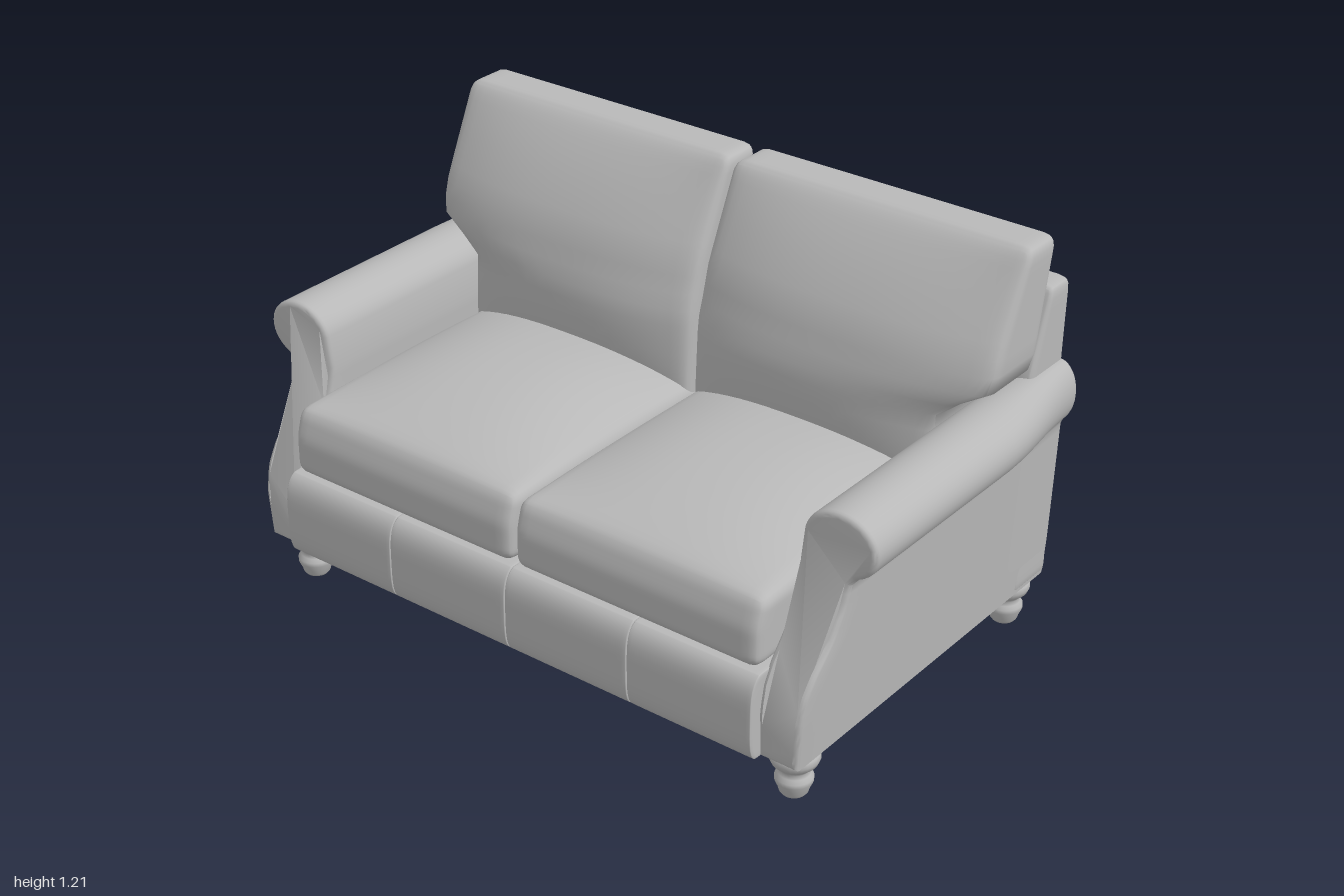
import * as THREE from 'three';
import { mergeVertices, toCreasedNormals } from 'three/addons/utils/BufferGeometryUtils.js';

const leather = new THREE.MeshStandardMaterial({ color: 0xb8b8b8 });
leather.name = 'grey upholstery';

const { lerp, smoothstep, clamp } = THREE.MathUtils;

// Piecewise-linear lookup through [input, output] pairs
function lookup(pairs, t) {
  if (t <= pairs[0][0]) return pairs[0][1];
  for (let i = 1; i < pairs.length; i++) {
    const [a, va] = pairs[i - 1], [b, vb] = pairs[i];
    if (t <= b) return lerp(va, vb, (t - a) / (b - a));
  }
  return pairs[pairs.length - 1][1];
}

// Rounded padded box between two corners; rule(p, n) bends each point,
// where n is its position in the box from -1 to 1
function softBox(min, max, r, rule, n = 24) {
  const lo = new THREE.Vector3(...min), hi = new THREE.Vector3(...max);
  const half = hi.clone().sub(lo).multiplyScalar(0.5);
  const centre = lo.clone().add(hi).multiplyScalar(0.5);
  const box = new THREE.BoxGeometry(2, 2, 2, n, n, n);
  const pos = box.attributes.position;
  const p = new THREE.Vector3(), inner = new THREE.Vector3(), unit = new THREE.Vector3();
  const core = half.clone().subScalar(r), coreMin = core.clone().negate();
  for (let i = 0; i < pos.count; i++) {
    p.fromBufferAttribute(pos, i);
    p.set(...p.toArray().map(c => Math.sin(c * Math.PI / 2))).multiply(half);
    inner.copy(p).clamp(coreMin, core);
    p.sub(inner).setLength(r).add(inner);
    unit.copy(p).divide(half);
    p.add(centre);
    if (rule) rule(p, unit);
    pos.setXYZ(i, p.x, p.y, p.z);
  }
  box.deleteAttribute('uv');
  box.deleteAttribute('normal');
  const geo = mergeVertices(box, 1e-5);
  geo.computeVertexNormals();
  return geo;
}

// Rolled arm: cross-section run front to back, its front end swept in side view
function armGeometry(side) {
  const pts = [];
  const line = (x0, y0, x1, y1, n) => {
    for (let i = 0; i < n; i++) pts.push([lerp(x0, x1, i / n), lerp(y0, y1, i / n)]);
  };
  line(0.78, 0.14, 0.776, 0.66, 20);
  for (let i = 0; i <= 24; i++) {
    const a = lerp(170, -62, i / 24) * Math.PI / 180;
    pts.push([0.892 + 0.106 * Math.cos(a), 0.71 + 0.09 * Math.sin(a)]);
  }
  line(0.925, 0.61, 0.918, 0.5, 5);
  line(0.918, 0.5, 0.895, 0.14, 15);
  pts.push([0.895, 0.14]);
  const shape = new THREE.Shape(pts.map(([x, y]) => new THREE.Vector2(x * side, y)));
  const bevel = 0.014;
  const geo = new THREE.ExtrudeGeometry(shape, {
    depth: 1, steps: 16, bevelSize: bevel, bevelThickness: bevel, bevelOffset: -bevel, bevelSegments: 3,
  });
  const sweep = [[0.14, 0.55], [0.28, 0.555], [0.35, 0.54], [0.4, 0.51], [0.47, 0.45],
    [0.55, 0.41], [0.62, 0.395], [0.8, 0.4]];
  const pos = geo.attributes.position;
  for (let i = 0; i < pos.count; i++) {
    let x = pos.getX(i) * side;
    const y = pos.getY(i), t = pos.getZ(i);
    const along = clamp(t, 0, 1);
    const z = lerp(-0.585, lookup(sweep, y), along) + (t - along);
    // the roll thins toward the back
    if (x > 0.9) x = 0.9 + (x - 0.9) * (1 - 0.5 * smoothstep(-z, 0.2, 0.62));
    pos.setXYZ(i, x * side, y, z);
  }
  geo.deleteAttribute('uv');
  return toCreasedNormals(geo, 0.7);
}

// Seat cushion with a crowned top
function seatGeometry(side) {
  const xs = [0.004 * side, 0.776 * side].sort((a, b) => a - b);
  return softBox([xs[0], 0.385, -0.42], [xs[1], 0.58, 0.572], 0.035, (p, n) => {
    const crown = (1 - Math.abs(n.x) ** 2.5) * (1 - n.z * n.z);
    if (n.y > 0) p.y += 0.085 * crown * n.y;
    // front face rolls back a little toward its top
    if (n.z > 0) p.z -= 0.02 * n.z * smoothstep(n.y, 0, 1);
  });
}

// Leaning back cushion, notched to sit between the arms below
function backCushionGeometry(side) {
  const xs = [0.008 * side, 0.922 * side].sort((a, b) => a - b);
  const front = [[0.5, -0.17], [0.8, -0.185], [0.95, -0.225], [1.2, -0.345]];
  const rear = [[0.5, -0.37], [0.8, -0.41], [1.2, -0.48]];
  return softBox([xs[0], 0.5, -0.1], [xs[1], 1.205, 0.1], 0.032, (p, n) => {
    const mid = (lookup(front, p.y) + lookup(rear, p.y)) / 2;
    const halfDepth = (lookup(front, p.y) - lookup(rear, p.y)) / 2;
    const puff = (1 - Math.abs(n.x) ** 2.5) * (1 - Math.abs(n.y) ** 3);
    p.z = mid + n.z * halfDepth + puff * n.z * (n.z > 0 ? 0.062 : 0.05);
    p.x *= lerp(0.845, 1, smoothstep(p.y, 0.76, 0.87));
  });
}

// Turned bun foot
function legGeometry() {
  const outline = [[0, 0], [0.032, 0], [0.038, 0.008], [0.042, 0.022], [0.05, 0.04], [0.05, 0.052],
    [0.042, 0.062], [0.038, 0.072], [0.045, 0.082], [0.06, 0.095], [0.066, 0.11], [0.064, 0.125],
    [0.054, 0.135], [0.05, 0.15]];
  return new THREE.LatheGeometry(outline.map(([x, y]) => new THREE.Vector2(x, y)), 28);
}

export function createModel() {
  const sofa = new THREE.Group();
  sofa.name = 'loveseat';
  const add = (name, geo, x = 0, y = 0, z = 0) => {
    const mesh = new THREE.Mesh(geo, leather);
    mesh.name = name;
    mesh.position.set(x, y, z);
    sofa.add(mesh);
  };

  // Base in four stitched panels with a padded front rail
  const seams = [-0.785, -0.4, 0, 0.4, 0.785];
  for (let i = 0; i < 4; i++) {
    add('basePanel' + (i + 1), softBox([seams[i], 0.14, -0.58], [seams[i + 1], 0.385, 0.575], 0.006, (p, n) => {
      if (n.z > 0.9) p.z += 0.03 * Math.sqrt(Math.max(0, 1 - n.y ** 4)) - 0.012 * Math.max(0, n.y) ** 4;
    }, 16));
  }

  // Back frame, thinner at the top
  const backFront = [[0.14, -0.43], [0.8, -0.43], [1.03, -0.51]];
  add('backFrame', softBox([-0.9, 0.14, -0.605], [0.9, 1.033, -0.43], 0.025, (p, n) => {
    p.z = lerp(-0.605, lookup(backFront, p.y), (n.z + 1) / 2);
  }));

  for (const side of [1, -1]) {
    const label = side > 0 ? 'left' : 'right';
    add(label + 'Arm', armGeometry(side));
    add(label + 'SeatCushion', seatGeometry(side));
    add(label + 'BackCushion', backCushionGeometry(side));
    add(label + 'FrontLeg', legGeometry(), 0.825 * side, 0, 0.47);
    add(label + 'BackLeg', legGeometry(), 0.825 * side, 0, -0.522);
  }
  return sofa;
}
